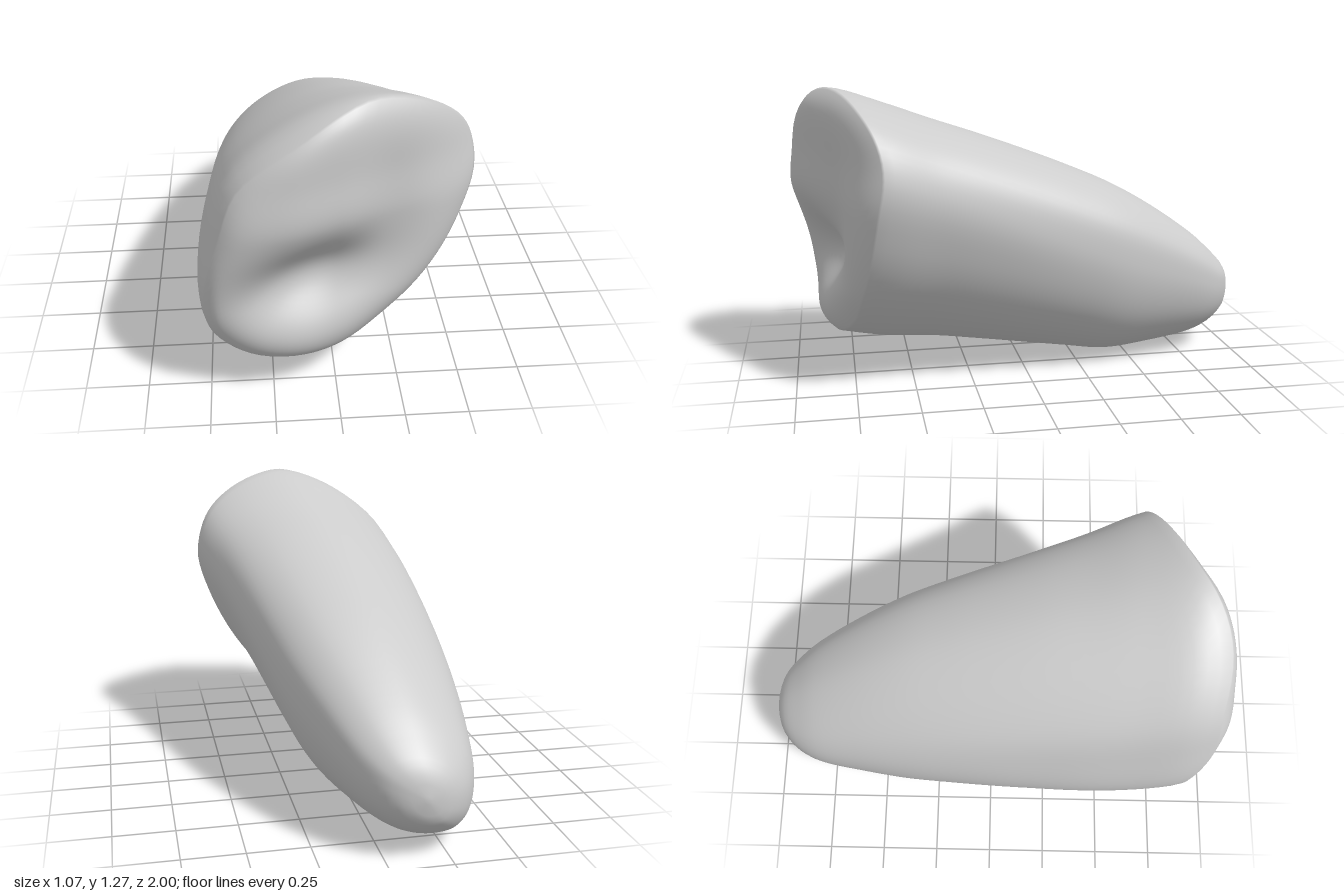
import * as THREE from 'three';
import { mergeVertices } from 'three/addons/utils/BufferGeometryUtils.js';

const SIDES = 80;

// Extents of the body along z: [z, xMin, xMax, yMin, yMax]
const EXTENTS = [
  [-1, -0.14, -0.14, 0.27, 0.27], [-0.99, -0.21, -0.07, 0.195, 0.34], [-0.96, -0.275, 0.0, 0.145, 0.405],
  [-0.9, -0.335, 0.06, 0.09, 0.47], [-0.8, -0.385, 0.125, 0.05, 0.56], [-0.6, -0.43, 0.21, 0.02, 0.70],
  [-0.4, -0.465, 0.28, 0.003, 0.815], [-0.2, -0.49, 0.33, 0.03, 0.905], [0, -0.51, 0.375, 0.06, 0.985],
  [0.2, -0.525, 0.42, 0.09, 1.06], [0.4, -0.537, 0.47, 0.12, 1.13], [0.6, -0.537, 0.53, 0.14, 1.205],
  [0.8, -0.525, 0.555, 0.18, 1.27], [0.9, -0.5, 0.555, 0.21, 1.265], [1, -0.46, 0.555, 0.25, 1.22],
];

// Face height across x and its falloff across y
const FACE_X = [[-0.55, 0.91], [-0.45, 0.97], [-0.2, 1.005], [0, 0.955], [0.2, 0.85], [0.4, 0.75], [0.55, 0.675]];
const FACE_Y = [[0.15, -0.13], [0.25, -0.095], [0.45, -0.03], [0.8, 0], [1.0, -0.02], [1.2, -0.015], [1.3, -0.03]];

// Normalised outlines, counter-clockwise, of the wide front and the rounded back
const outline = (pts) =>
  new THREE.CatmullRomCurve3(pts.map(([x, y]) => new THREE.Vector3(x, y, 0)), true);
const FRONT = outline([[1, 0.46], [0.9, 0.76], [0.61, 0.94], [0.15, 1], [-0.32, 0.84], [-0.76, 0.48],
  [-0.93, 0], [-1, -0.45], [-0.93, -0.75], [-0.67, -0.96], [-0.25, -1], [0.06, -0.92], [0.41, -0.67],
  [0.7, -0.34], [0.89, 0.03]]);
const BACK = outline([[1, 0.28], [0.95, 0.66], [0.66, 0.93], [0.1, 1], [-0.41, 0.8], [-0.78, 0.47],
  [-0.96, 0.1], [-1, -0.3], [-0.92, -0.67], [-0.7, -0.92], [-0.32, -1], [0.13, -0.93], [0.52, -0.71],
  [0.79, -0.41], [0.94, -0.08]]);

// Smooth interpolation of one table column
function sample(table, x, col = 1) {
  const n = table.length - 1;
  x = THREE.MathUtils.clamp(x, table[0][0], table[n][0]);
  let i = 0;
  while (i < n - 1 && x > table[i + 1][0]) i++;
  const slope = (k) => {
    const a = table[Math.max(k - 1, 0)], b = table[Math.min(k + 1, n)];
    return (b[col] - a[col]) / (b[0] - a[0]);
  };
  const p = table[i], q = table[i + 1], h = q[0] - p[0], t = (x - p[0]) / h;
  const t2 = t * t, t3 = t2 * t;
  return (2 * t3 - 3 * t2 + 1) * p[col] + (t3 - 2 * t2 + t) * h * slope(i)
    + (3 * t2 - 2 * t3) * q[col] + (t3 - t2) * h * slope(i + 1);
}

// Point on the outer skin at turn t and depth z
function skin(t, z) {
  const [x0, x1, y0, y1] = [1, 2, 3, 4].map((c) => sample(EXTENTS, z, c));
  const p = BACK.getPoint(t).lerp(FRONT.getPoint(t), THREE.MathUtils.smoothstep(z, -0.6, 0.7));
  return new THREE.Vector3((x0 + x1) / 2 + p.x * (x1 - x0) / 2, (y0 + y1) / 2 + p.y * (y1 - y0) / 2, z);
}

// Slanted front face with a curved, slanting hollow; r is 1 at the rim
function faceZ(x, y, r) {
  const dx = x + 0.1, dy = y - 0.545;
  const along = dx * 0.94 + dy * 0.34, across = dy * 0.94 - dx * 0.34;
  const hollow = 0.2 * Math.exp(-((along / 0.29) ** 2) - (across / 0.185) ** 2);
  const groove = 0.025 * Math.exp(-(((x - 0.2) / 0.12) ** 2) - ((y - 0.85) / 0.2) ** 2);
  const inside = 1 - r ** 4;
  return sample(FACE_X, x) + sample(FACE_Y, y) - (hollow + groove) * inside - 0.045 * r ** 10;
}

function bodyGeometry() {
  const rings = [];
  const turns = Array.from({ length: SIDES }, (_, j) => j / SIDES);

  // Rim, solved so that it lies both on the skin and on the front face
  const rim = turns.map((t) => {
    let z = 0.8;
    for (let k = 0; k < 16; k++) {
      const p = skin(t, z);
      z = (z + faceZ(p.x, p.y, 1)) / 2;
    }
    return skin(t, z);
  });

  // Rounded back end, then the sides out to the rim
  for (let i = 0; i <= 14; i++) {
    const z = -1 + 0.4 * (i / 14) ** 2;
    rings.push(turns.map((t) => skin(t, z)));
  }
  for (let i = 1; i <= 30; i++) {
    rings.push(turns.map((t, j) => skin(t, THREE.MathUtils.lerp(-0.6, rim[j].z, i / 30))));
  }

  // Front face, from the rim inwards
  const centre = new THREE.Vector3(-0.05, 0.68, 0);
  for (let i = 1; i <= 26; i++) {
    const r = 1 - (i / 26) ** 1.3;
    rings.push(rim.map((p) => {
      const q = centre.clone().lerp(p, r);
      q.z = faceZ(q.x, q.y, r);
      return q;
    }));
  }

  const positions = rings.flat().flatMap((p) => [p.x, p.y, p.z]);
  const index = [];
  for (let i = 0; i < rings.length - 1; i++) {
    for (let j = 0; j < SIDES; j++) {
      const a = i * SIDES + j, b = i * SIDES + (j + 1) % SIDES;
      index.push(a, b, a + SIDES, b, b + SIDES, a + SIDES);
    }
  }
  let geometry = new THREE.BufferGeometry();
  geometry.setAttribute('position', new THREE.Float32BufferAttribute(positions, 3));
  geometry.setIndex(index);
  geometry = mergeVertices(geometry, 1e-5);
  geometry.computeVertexNormals();
  return geometry;
}

export function createModel() {
  const group = new THREE.Group();
  group.name = 'hollowFacedStone';
  const stoneGrey = new THREE.MeshStandardMaterial({ color: 0xcccccc });
  stoneGrey.name = 'stoneGrey';
  const body = new THREE.Mesh(bodyGeometry(), stoneGrey);
  body.name = 'stoneBody';
  group.add(body);
  return group;
}
